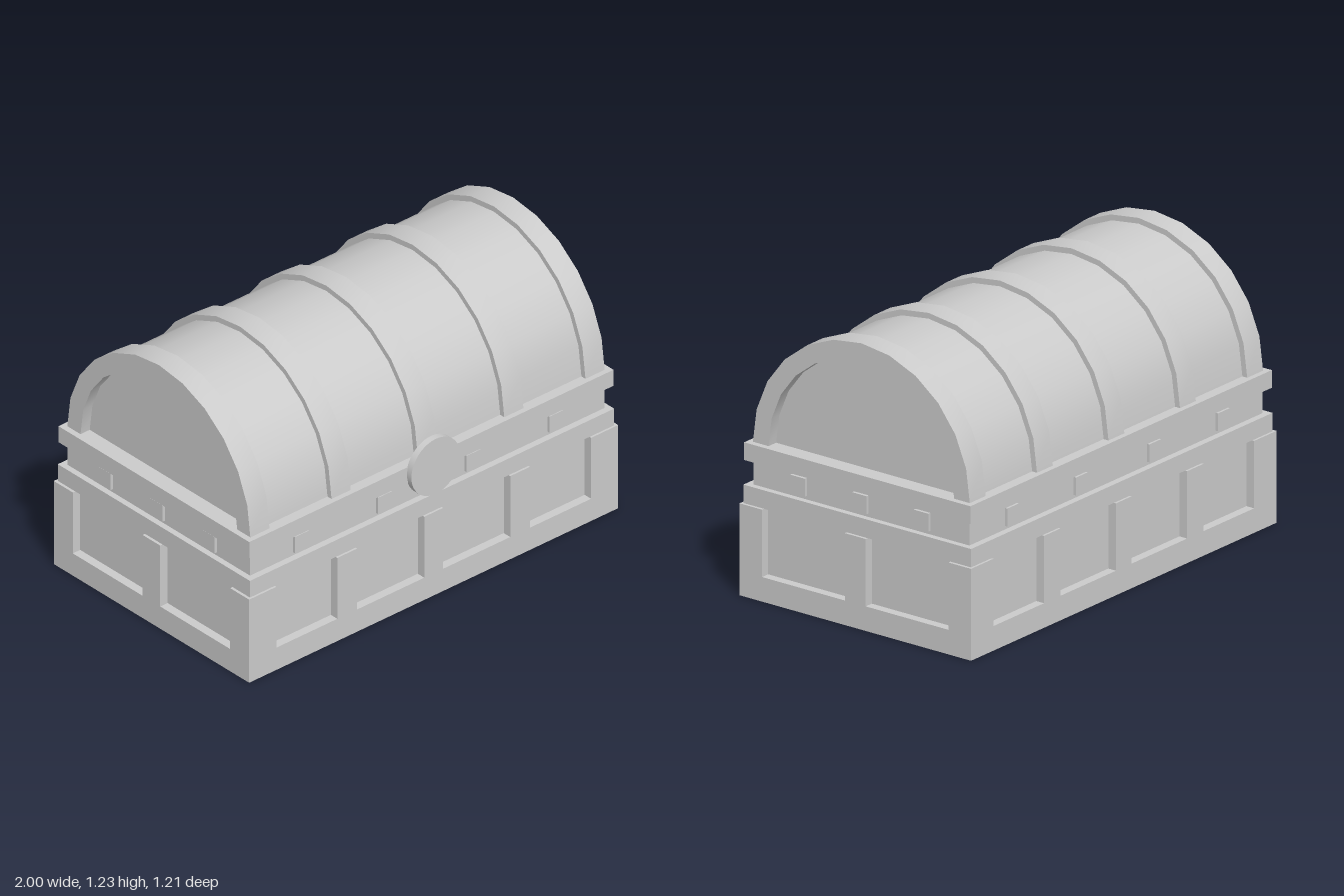
import * as THREE from 'three';
import { toCreasedNormals } from 'three/addons/utils/BufferGeometryUtils.js';

const material = new THREE.MeshStandardMaterial({ color: 0xcccccc });
const LID_Y = 0.665;       // centre height of the lid arch
const HX = 0.96, HZ = 0.56; // half size of the inner body

export function createModel() {
  const root = new THREE.Group();
  root.name = 'chest';
  const chest = new THREE.Group();
  chest.name = 'chestParts';
  chest.position.z = -0.006;
  root.add(chest);

  function add(name, geometry, x = 0, y = 0, z = 0, rotY = 0) {
    const mesh = new THREE.Mesh(geometry, material);
    mesh.name = name;
    mesh.position.set(x, y, z);
    mesh.rotation.y = rotY;
    chest.add(mesh);
    return mesh;
  }

  // Box spanning a height range, centred on x and z
  function slab(name, hx, hz, y0, y1) {
    add(name, new THREE.BoxGeometry(2 * hx, y1 - y0, 2 * hz), 0, (y0 + y1) / 2, 0);
  }

  slab('body', HX, HZ, 0.01, 0.6);
  slab('lowerBand', 0.987, 0.59, 0.4, 0.48);
  slab('upperBand', 0.987, 0.586, 0.588, LID_Y);

  // Base frame: a wall with notches that leave recessed panels between posts
  function frameWall(halfLength, panels) {
    const s = new THREE.Shape();
    s.moveTo(halfLength, 0);
    s.lineTo(halfLength, 0.4);
    for (const [a, b] of [...panels].reverse()) {
      s.lineTo(b, 0.4);
      s.lineTo(b, 0.107);
      s.lineTo(a, 0.107);
      s.lineTo(a, 0.4);
    }
    s.lineTo(-halfLength, 0.4);
    s.lineTo(-halfLength, 0);
    return new THREE.ExtrudeGeometry(s, { depth: 0.04, bevelEnabled: false });
  }
  const longWall = frameWall(1, [[-0.853, -0.522], [-0.415, -0.051], [0.051, 0.415], [0.522, 0.853]]);
  const shortWall = frameWall(HZ, [[-0.483, -0.054], [0.054, 0.483]]);
  add('frontFrame', longWall, 0, 0, HZ);
  add('backFrame', longWall, 0, 0, -HZ, Math.PI);
  add('leftFrame', shortWall, HX, 0, 0, Math.PI / 2);
  add('rightFrame', shortWall, -HX, 0, 0, -Math.PI / 2);

  // Half-round section, solid or hollow, run along x and centred at x
  function arch(name, x, width, radius, innerRadius) {
    const s = new THREE.Shape();
    s.moveTo(radius, 0);
    s.absarc(0, 0, radius, 0, Math.PI, false);
    if (innerRadius) {
      s.lineTo(-innerRadius, 0);
      s.absarc(0, 0, innerRadius, Math.PI, 0, true);
    }
    const g = new THREE.ExtrudeGeometry(s, { depth: width, bevelEnabled: false, curveSegments: 6 });
    g.translate(0, 0, -width / 2);
    g.rotateY(Math.PI / 2);
    add(name, toCreasedNormals(g, 0.5), x, LID_Y, 0);
  }
  arch('lidBarrel', 0, 1.82, 0.537);
  for (const x of [-0.908, -0.468, 0, 0.468, 0.908]) arch('lidRib', x, 0.104, 0.562, 0.481);

  // Square studs around the body
  const stud = new THREE.BoxGeometry(0.076, 0.078, 0.026);
  for (const side of [-1, 1]) {
    for (const x of [-0.69, -0.24, 0.24, 0.69]) add('stud', stud, x, 0.535, side * HZ);
    for (const z of [-0.32, 0, 0.32]) add('stud', stud, side * HX, 0.535, z, Math.PI / 2);
  }

  // Round lock plate on the front
  const disc = new THREE.CylinderGeometry(0.132, 0.132, 0.03, 48);
  disc.rotateX(Math.PI / 2);
  add('lockPlate', disc, 0, 0.628, 0.598);

  return root;
}
